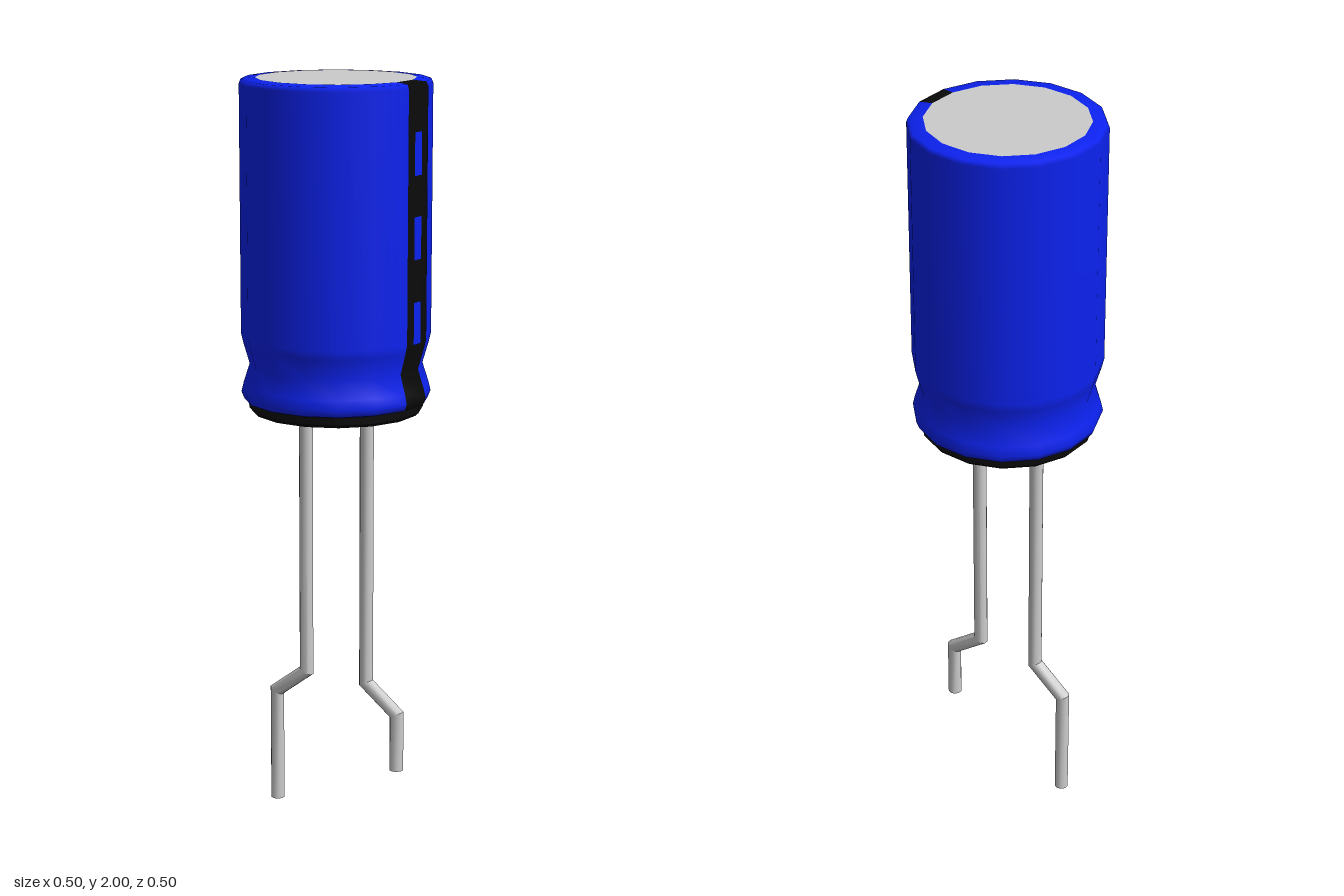
import * as THREE from 'three';
import { toCreasedNormals } from 'three/addons/utils/BufferGeometryUtils.js';

const SIDES = 16;
const STEP = (Math.PI * 2) / SIDES;
const blue = new THREE.MeshStandardMaterial({ color: 0x0c22f0 });
const black = new THREE.MeshStandardMaterial({ color: 0x0a0a0a });
const grey = new THREE.MeshStandardMaterial({ color: 0xcccccc });

const profile = (pairs) => pairs.map(([r, y]) => new THREE.Vector2(r, y));

function addMesh(parent, name, geometry, material) {
  const mesh = new THREE.Mesh(geometry, material);
  mesh.name = name;
  parent.add(mesh);
  return mesh;
}

// Round wire bent in the xy plane, with mitred elbows; path runs from top to bottom
function bentWire(path, radius) {
  const rows = path.length - 1;
  const geometry = new THREE.CylinderGeometry(radius, radius, 1, 10, rows);
  const points = profile(path);
  const normals = points.slice(1).map((p, i) => {
    const d = p.clone().sub(points[i]).normalize();
    return new THREE.Vector2(-d.y, d.x);
  });
  const mitres = points.map((_, i) => {
    const a = normals[Math.max(i - 1, 0)];
    const b = normals[Math.min(i, rows - 1)];
    return a.clone().add(b).divideScalar(1 + a.dot(b));
  });
  const pos = geometry.attributes.position;
  for (let i = 0; i < pos.count; i++) {
    const row = Math.round((0.5 - pos.getY(i)) * rows);
    const x = pos.getX(i);
    pos.setXY(i, points[row].x + mitres[row].x * x, points[row].y + mitres[row].y * x);
  }
  return toCreasedNormals(geometry, 0.7);
}

export function createModel() {
  const model = new THREE.Group();
  model.name = 'capacitor';
  // Stripe and leads lie on the local x axis, turned slightly towards the front
  model.rotation.y = -0.087;

  // Sleeve with a crimped neck; one facet of it is the black polarity stripe
  const sleeve = profile([
    [0.228, 1.158], [0.242, 1.162], [0.249, 1.18], [0.243, 1.205], [0.227, 1.255],
    [0.243, 1.31], [0.249, 1.335], [0.249, 1.985], [0.244, 1.997], [0.208, 2],
  ]);
  const stripeEnd = Math.PI / 2 + STEP / 2;
  addMesh(model, 'sleeve',
    new THREE.LatheGeometry(sleeve, SIDES - 1, stripeEnd, Math.PI * 2 - STEP), blue);
  addMesh(model, 'polarityStripe',
    new THREE.LatheGeometry(sleeve, 1, stripeEnd - STEP, STEP), black);

  // Blue dashes on the stripe
  const faceX = 0.249 * Math.cos(STEP / 2) + 0.001;
  for (const y of [1.385, 1.605, 1.82]) {
    const dash = addMesh(model, 'stripeDash', new THREE.PlaneGeometry(0.034, 0.11), blue);
    dash.position.set(faceX, y, 0);
    dash.rotation.y = Math.PI / 2;
  }

  // Metal top
  const top = addMesh(model, 'topDisc',
    new THREE.CircleGeometry(0.208, SIDES, STEP / 2), grey);
  top.rotation.x = -Math.PI / 2;
  top.position.y = 2;

  // Rubber seal under the can
  const seal = new THREE.LatheGeometry(
    profile([[0, 1.13], [0.222, 1.13], [0.229, 1.137], [0.229, 1.16], [0, 1.16]]),
    SIDES, STEP / 2);
  addMesh(model, 'baseSeal', toCreasedNormals(seal, 0.6), black);

  // Leads: the one on the stripe side is shorter
  for (const [name, side, bottom] of [['shortLead', 1, 0.157], ['longLead', -1, 0]]) {
    const path = [[0.095, 1.14], [0.095, 0.387], [0.191, 0.314], [0.191, bottom]]
      .map(([x, y]) => [x * side, y]);
    addMesh(model, name, bentWire(path, 0.019), grey);
  }

  const root = new THREE.Group();
  root.add(model);
  return root;
}
